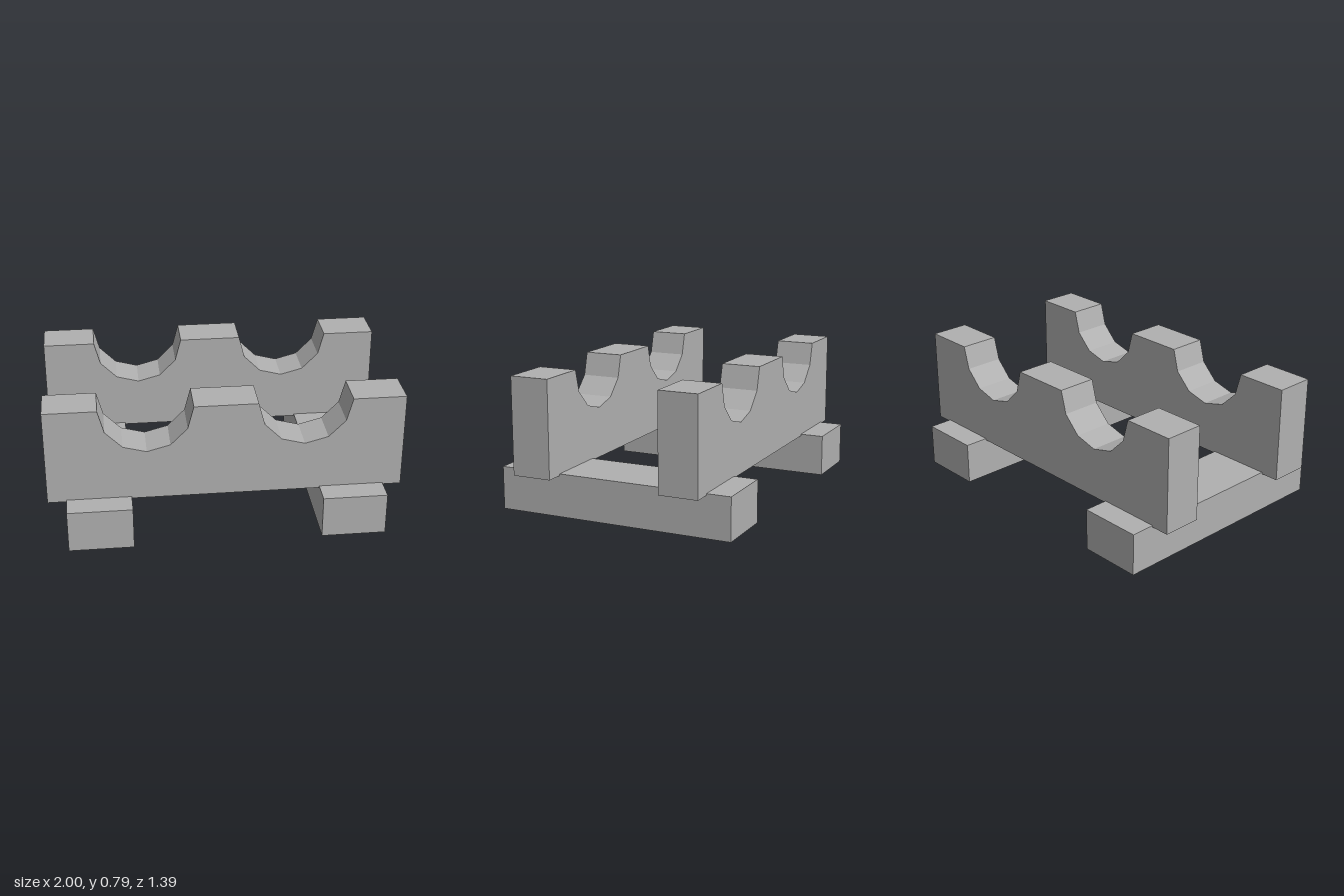
import * as THREE from 'three';

export function createModel() {
  const model = new THREE.Group();
  model.name = 'cradleStand';
  const grey = new THREE.MeshStandardMaterial({ color: 0xb0b0b0 });
  grey.name = 'plain grey';

  // Cradle outline with two faceted half-round notches
  const bottom = 0.235, top = 0.79, radius = 0.262, notchX = 0.44, sides = 6;
  const outline = new THREE.Shape();
  outline.moveTo(-1, bottom);
  outline.lineTo(1, bottom);
  outline.lineTo(1, top);
  for (const cx of [notchX, -notchX]) {
    for (let i = 0; i <= sides; i++) {
      const a = (i / sides) * Math.PI;
      outline.lineTo(cx + radius * Math.cos(a), top - radius * Math.sin(a));
    }
  }
  outline.lineTo(-1, top);
  outline.closePath();

  const depth = 0.227;
  const cradleGeometry = new THREE.ExtrudeGeometry(outline, { depth, bevelEnabled: false });
  cradleGeometry.translate(0, 0, -depth / 2);

  // Front and back cradles
  for (const [name, z] of [['frontCradle', 0.44], ['backCradle', -0.44]]) {
    const cradle = new THREE.Mesh(cradleGeometry, grey);
    cradle.name = name;
    cradle.position.z = z;
    model.add(cradle);
  }

  // Base rails, slightly let into the cradles
  const railGeometry = new THREE.BoxGeometry(0.364, 0.245, 1.386);
  for (const [name, x] of [['leftRail', 0.713], ['rightRail', -0.713]]) {
    const rail = new THREE.Mesh(railGeometry, grey);
    rail.name = name;
    rail.position.set(x, 0.1225, 0);
    model.add(rail);
  }

  return model;
}
